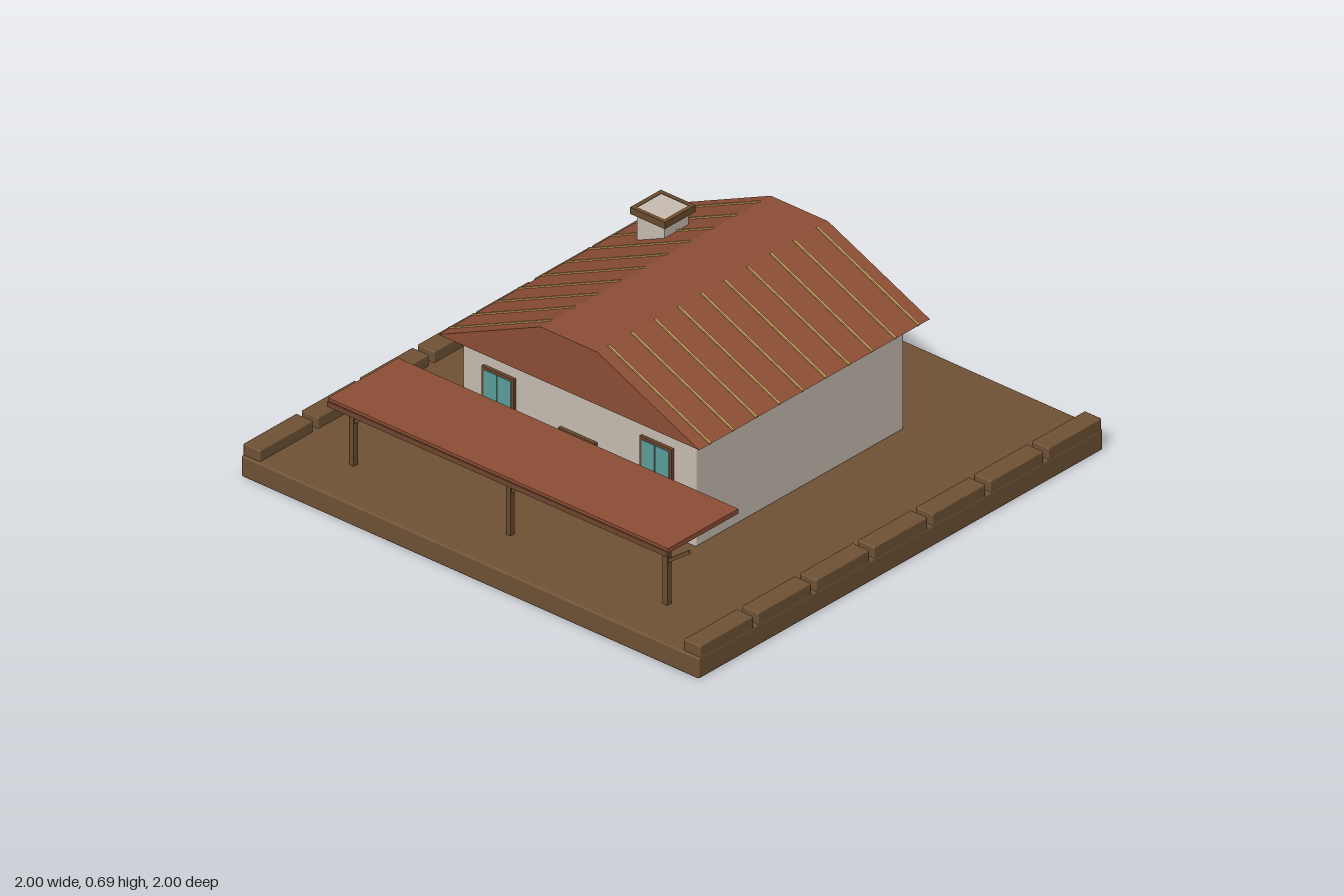
import * as THREE from 'three';
import { RoundedBoxGeometry } from 'three/addons/geometries/RoundedBoxGeometry.js';

const mat = (name, color) => Object.assign(new THREE.MeshStandardMaterial({ color }), { name });

export function createModel() {
  const soil = mat('earth brown', 0x6f5235);
  const wood = mat('wood brown', 0x6a4c2d);
  const frameWood = mat('frame brown', 0x70462f);
  const plaster = mat('plaster', 0xc8beb2);
  const tile = mat('terracotta', 0x8d4e35);
  const batten = mat('pale batten', 0xc39a58);
  const glass = mat('teal glass', 0x5a9f9c);

  const model = new THREE.Group();
  model.name = 'house';

  const add = (name, geometry, material, parent = model) => {
    const mesh = new THREE.Mesh(geometry, material);
    mesh.name = name;
    parent.add(mesh);
    return mesh;
  };
  // Box from its low and high corners, optionally with bevelled edges
  const box = (name, material, [x0, y0, z0], [x1, y1, z1], bevel = 0, parent = model) => {
    const size = [x1 - x0, y1 - y0, z1 - z0];
    const geometry = bevel
      ? new RoundedBoxGeometry(...size, 2, bevel)
      : new THREE.BoxGeometry(...size);
    const mesh = add(name, geometry, material, parent);
    mesh.position.set((x0 + x1) / 2, (y0 + y1) / 2, (z0 + z1) / 2);
    return mesh;
  };
  // Square bar between two points in a plane of constant z
  const bar = (name, material, [xa, ya], [xb, yb], z, thick, width) => {
    const mesh = add(name, new THREE.BoxGeometry(Math.hypot(xb - xa, yb - ya), thick, width), material);
    mesh.position.set((xa + xb) / 2, (ya + yb) / 2, z);
    mesh.rotation.z = Math.atan2(yb - ya, xb - xa);
    return mesh;
  };

  // Ground slab with a row of kerb blocks on both sides
  box('ground', soil, [-1, 0, -1], [1, 0.08, 1], 0.008);
  for (let i = 0; i < 7; i++) {
    const z = -0.995 + i * 0.287;
    for (const s of [-1, 1]) {
      box('kerbBlock', soil, [s * 0.962 - 0.037, 0.07, z], [s * 0.962 + 0.037, 0.122, z + 0.264], 0.006);
    }
  }

  // Walls
  box('walls', plaster, [-0.51, 0.075, -0.57], [0.51, 0.495, 0.46], 0.009);

  // Main roof, a flat-topped prism
  const profile = new THREE.Shape([
    new THREE.Vector2(-0.57, 0.49), new THREE.Vector2(0.57, 0.49),
    new THREE.Vector2(0.125, 0.69), new THREE.Vector2(-0.125, 0.69),
  ]);
  const roof = add('roof', new THREE.ExtrudeGeometry(profile, { depth: 1.14, bevelEnabled: false }), tile);
  roof.position.z = -0.63;

  // Battens down both roof slopes
  for (let i = 0; i < 10; i++) {
    for (const s of [-1, 1]) {
      bar('roofBatten', batten, [s * 0.57, 0.491], [s * 0.125, 0.691], -0.575 + i * 0.1145, 0.008, 0.009);
    }
  }

  // Chimney with a cap collar
  box('chimney', plaster, [-0.405, 0.5, -0.405], [-0.285, 0.688, -0.285]);
  const collar = new THREE.Shape().moveTo(-0.076, -0.076).lineTo(0.076, -0.076)
    .lineTo(0.076, 0.076).lineTo(-0.076, 0.076).closePath();
  collar.holes.push(new THREE.Path().moveTo(-0.06, -0.06).lineTo(-0.06, 0.06)
    .lineTo(0.06, 0.06).lineTo(0.06, -0.06).closePath());
  const cap = add('chimneyCap', new THREE.ExtrudeGeometry(collar, { depth: 0.025, bevelEnabled: false }), wood);
  cap.rotation.x = -Math.PI / 2;
  cap.position.set(-0.345, 0.665, -0.345);

  // Door and step
  box('door', wood, [-0.08, 0.08, 0.45], [0.08, 0.31, 0.473]);
  box('doorStep', wood, [-0.145, 0.08, 0.455], [0.145, 0.115, 0.56]);

  // Front windows with two panes, and plain shutters at the back
  for (const x of [-0.345, 0.345]) {
    const win = new THREE.Group();
    win.name = 'window';
    model.add(win);
    box('windowFrame', frameWood, [x - 0.07, 0.258, 0.45], [x + 0.07, 0.415, 0.472], 0, win);
    for (const s of [-1, 1]) {
      const c = x + s * 0.031;
      box('windowPane', glass, [c - 0.028, 0.268, 0.47], [c + 0.028, 0.405, 0.475], 0, win);
    }
    box('backShutter', wood, [x - 0.07, 0.258, -0.582], [x + 0.07, 0.415, -0.56]);
  }

  // Porch roof with its front beam, posts and braces
  box('porchRoof', tile, [-0.743, 0.318, 0.513], [0.743, 0.336, 0.86]);
  box('porchBeam', frameWood, [-0.743, 0.305, 0.852], [0.743, 0.325, 0.865]);
  for (const x of [-0.685, 0, 0.685]) {
    box('porchPost', wood, [x - 0.01, 0.075, 0.79], [x + 0.01, 0.32, 0.81]);
    bar('porchBrace', wood, [x, 0.24], [x + 0.1, 0.315], 0.8, 0.012, 0.01);
  }

  return model;
}
